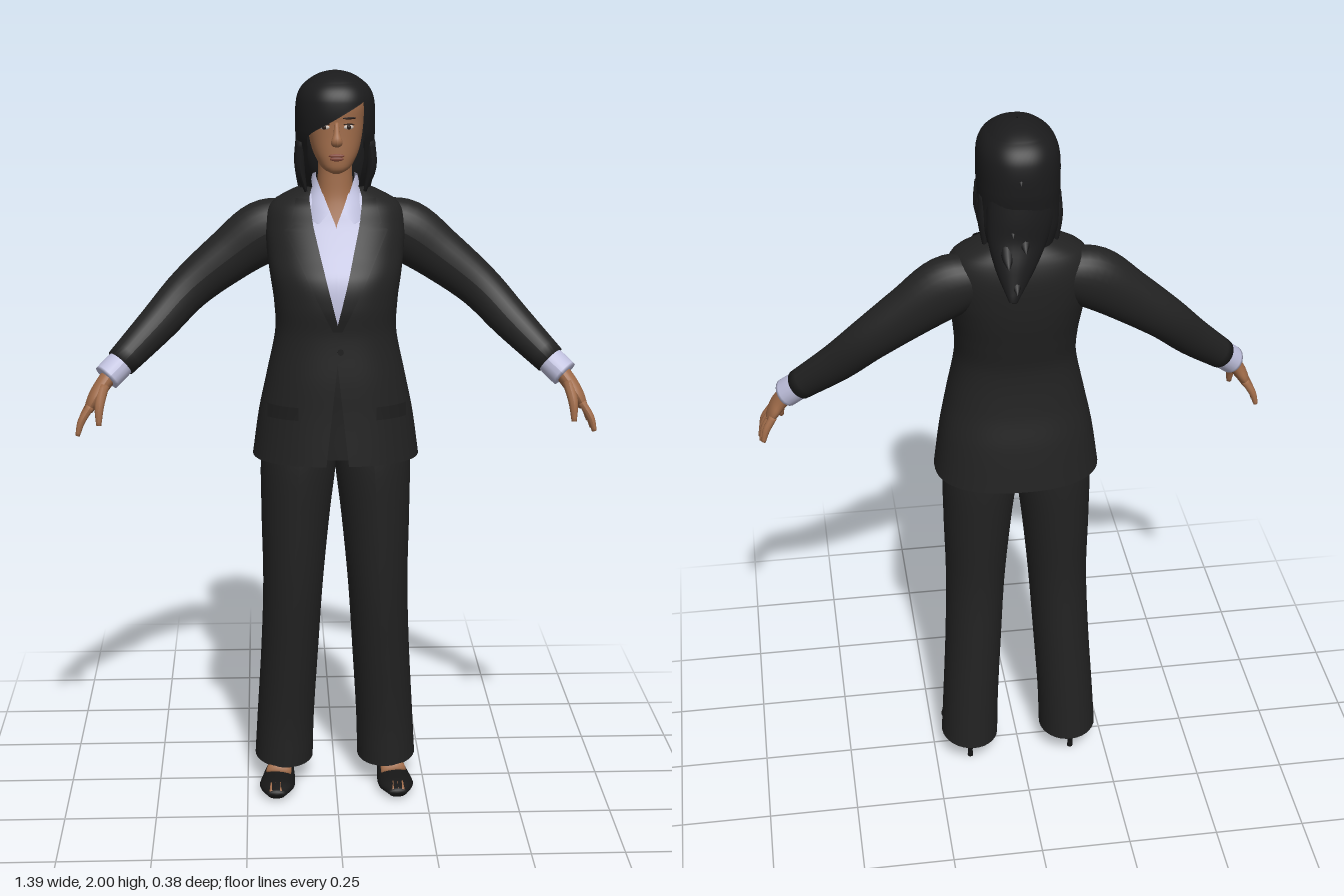
import * as THREE from 'three';

const mat = (name, color) => {
  const m = new THREE.MeshStandardMaterial({ color, side: THREE.DoubleSide });
  m.name = name;
  return m;
};
const lerp = THREE.MathUtils.lerp, clamp = THREE.MathUtils.clamp;

// Piecewise linear value through [key, value] pairs
const ramp = (pairs) => (k) => {
  let i = 0;
  while (i < pairs.length - 2 && k > pairs[i + 1][0]) i++;
  const [a, b] = [pairs[i], pairs[i + 1]];
  return lerp(a[1], b[1], clamp((k - a[0]) / (b[0] - a[0]), 0, 1));
};

// Smooth interpolation of rows of numbers at ascending keys
function interp(keys, rows, k) {
  const n = keys.length;
  let i = 0;
  while (i < n - 2 && k > keys[i + 1]) i++;
  const h = keys[i + 1] - keys[i], t = clamp((k - keys[i]) / h, 0, 1);
  return rows[i].map((_, c) => {
    const slope = (j) => {
      const a = Math.max(j - 1, 0), b = Math.min(j + 1, n - 1);
      return (rows[b][c] - rows[a][c]) / (keys[b] - keys[a]);
    };
    const p = rows[i][c], q = rows[i + 1][c], t2 = t * t, t3 = t2 * t;
    return p * (2 * t3 - 3 * t2 + 1) + q * (3 * t2 - 2 * t3) + h * (slope(i) * (t3 - 2 * t2 + t) + slope(i + 1) * (t3 - t2));
  });
}

// Grid surface from fn(u, v) -> [x, y, z]
function grid(nu, nv, fn) {
  const pos = [], idx = [];
  for (let j = 0; j <= nv; j++) for (let i = 0; i <= nu; i++) pos.push(...fn(i / nu, j / nv));
  for (let j = 0; j < nv; j++) for (let i = 0; i < nu; i++) {
    const a = j * (nu + 1) + i, b = a + 1, c = b + nu + 1, d = a + nu + 1;
    idx.push(a, b, c, a, c, d);
  }
  const g = new THREE.BufferGeometry();
  g.setAttribute('position', new THREE.Float32BufferAttribute(pos, 3));
  g.setIndex(idx);
  g.computeVertexNormals();
  return g;
}

// Body surface from sections [y, halfWidth, zFront, zBack]; angle 0 is the front
const P = 0.85;
const bend = (s) => Math.sign(s) * Math.abs(s) ** P;
function surf(sec, y, a, off = 0) {
  const [, rx, zf, zb] = interp(sec.map((s) => s[0]), sec, y);
  return [(rx + off) * bend(Math.sin(a)), y, (zf + zb) / 2 + ((zf - zb) / 2 + off) * bend(Math.cos(a))];
}
function angleAt(sec, y, x) {
  const q = clamp(x / interp(sec.map((s) => s[0]), sec, y)[1], -0.98, 0.98);
  return Math.asin(Math.sign(q) * Math.abs(q) ** (1 / P));
}
const shell = (sec, y0, y1, edges, off = 0, nu = 40, nv = 36) => grid(nu, nv, (u, v) => {
  const y = lerp(y0, y1, v), [a, b] = edges(y);
  return surf(sec, y, lerp(a, b, u), off);
});
const around = () => [-Math.PI, Math.PI];

// Tube through rows [x, y, z, radius along ref, other radius]
function sweep(rows, { ref = [0, 0, 1], n = 20, steps = 5, caps = true } = {}) {
  const keys = rows.map((_, i) => i), last = rows.length - 1, nv = last * steps + (caps ? 2 : 0);
  return grid(n, nv, (u, v) => {
    const j = Math.round(v * nv) - (caps ? 1 : 0), k = clamp(j / steps, 0, last);
    const at = (q) => new THREE.Vector3(...interp(keys, rows, clamp(q, 0, last)));
    const T = at(k + 0.05).sub(at(k - 0.05)).normalize();
    const A = new THREE.Vector3(...ref).addScaledVector(T, -T.dot(new THREE.Vector3(...ref))).normalize();
    const B = T.clone().cross(A), [x, y, z, ra, rb] = interp(keys, rows, k);
    const f = caps && (j < 0 || j > last * steps) ? 0 : 1, a = u * Math.PI * 2;
    return new THREE.Vector3(x, y, z).addScaledVector(A, f * ra * Math.cos(a)).addScaledVector(B, f * rb * Math.sin(a)).toArray();
  });
}

export function createModel() {
  const root = new THREE.Group();
  root.name = 'suitedWoman';
  const suit = mat('suit black', 0x222222), lapelMat = mat('lapel black', 0x1d1d1d), hairMat = mat('hair black', 0x1b1b1c);
  const shirt = mat('shirt lavender', 0xc0c1de), skin = mat('skin', 0xa06c4a), lip = mat('lips', 0x84483a);
  const shoeMat = mat('shoe black', 0x161616), white = mat('eye white', 0xcfc4bc), dark = mat('eye dark', 0x2a1c16);
  const add = (name, geo, m) => {
    const mesh = new THREE.Mesh(geo, m);
    mesh.name = name;
    root.add(mesh);
    return mesh;
  };

  // Jacket body, open in a V at the chest and parted at the hem
  const torso = [[0.975, 0.225, 0.185, -0.145], [1.1, 0.207, 0.18, -0.13], [1.2, 0.186, 0.178, -0.112], [1.32, 0.162, 0.172, -0.105],
    [1.4, 0.165, 0.175, -0.12], [1.47, 0.175, 0.163, -0.135], [1.53, 0.183, 0.125, -0.143], [1.6, 0.186, 0.086, -0.145],
    [1.65, 0.17, 0.062, -0.135], [1.68, 0.12, 0.035, -0.12], [1.705, 0.06, 0.02, -0.095]];
  const vee = ramp([[0.975, 0.03], [1.25, 0], [1.35, 0], [1.6, 0.06], [1.67, 0.07], [1.705, 0.06]]);
  add('jacket', shell(torso, 0.975, 1.705, (y) => {
    const a = angleAt(torso, y, vee(y));
    return [a, Math.PI * 2 - a];
  }, 0, 64, 64), suit);
  add('jacketLining', shell(torso, 0.99, 1.33, around, -0.012), lapelMat);

  // Shirt, neck and collars
  const neck = [[1.56, 0.12, 0.07, -0.1], [1.66, 0.056, 0.036, -0.08], [1.72, 0.046, 0.03, -0.075], [1.81, 0.046, 0.03, -0.08]];
  add('neck', shell(neck, 1.56, 1.81, around), skin);
  const collar = [[1.61, 0.095, 0.098, -0.1], [1.65, 0.082, 0.075, -0.1], [1.69, 0.068, 0.045, -0.095], [1.725, 0.06, 0.03, -0.088]];
  const shirtGap = ramp([[1.3, 0], [1.6, 0], [1.69, 0.04]]);
  const lapelOut = ramp([[1.34, 0.012], [1.58, 0.125], [1.597, 0.132], [1.6, 0.1], [1.61, 0.115], [1.67, 0.1]]);
  const collarIn = ramp([[1.61, 0.045], [1.64, 0.018], [1.725, 0.052]]);
  for (const s of [1, -1]) {
    const side = (a, b) => (s > 0 ? [a, b] : [-b, -a]);
    const strip = (sec, p, q) => (y) => side(angleAt(sec, y, p(y)), angleAt(sec, y, q(y)));
    add('shirtFront', shell(torso, 1.3, 1.68, strip(torso, shirtGap, (y) => vee(y) + 0.035), -0.008, 10), shirt);
    add('lapel', shell(torso, 1.34, 1.67, strip(torso, (y) => vee(y) - 0.002, lapelOut), 0.008, 8, 60), lapelMat);
    add('shirtCollar', shell(collar, 1.61, 1.725, (y) => {
      const a = angleAt(collar, y, collarIn(y));
      return side(a, lerp(a + 0.05, Math.PI, clamp((y - 1.61) / 0.06, 0, 1)));
    }, 0, 24, 20), shirt);
    add('pocketFlap', shell(torso, 1.1, 1.135, strip(torso, () => 0.1, () => 0.18), 0.006, 8, 3), lapelMat);

    // Sleeve, cuff and hand
    const limb = (name, rows, m, opt) => add(name, sweep(rows.map(([x, ...r]) => [x * s, ...r]), opt), m);
    limb('sleeve', [[0.11, 1.59, -0.06, 0.06, 0.068], [0.19, 1.568, -0.058, 0.064, 0.084], [0.285, 1.503, -0.052, 0.057, 0.072],
      [0.39, 1.42, -0.034, 0.05, 0.06], [0.475, 1.333, 0.008, 0.045, 0.053], [0.575, 1.237, 0.07, 0.041, 0.042]], suit, { n: 28 });
    limb('cuff', [[0.56, 1.25, 0.063, 0.036, 0.036], [0.585, 1.227, 0.077, 0.039, 0.038], [0.612, 1.202, 0.092, 0.041, 0.038]], shirt);
    limb('palm', [[0.595, 1.22, 0.083, 0.027, 0.022], [0.625, 1.18, 0.1, 0.034, 0.021], [0.645, 1.15, 0.107, 0.041, 0.018],
      [0.66, 1.12, 0.109, 0.036, 0.013]], skin);
    for (const [i, len] of [0.8, 0.95, 1, 0.9].entries()) {
      const z = 0.078 + i * 0.02, d = (i - 1.5) * 0.01;
      limb('finger', [[0.653, 1.135, z, 0.011, 0.011], [0.653 + 0.026 * len, 1.135 - 0.042 * len, z + d * 0.6, 0.01, 0.01],
        [0.653 + 0.038 * len, 1.135 - 0.083 * len, z + d, 0.006, 0.006]], skin, { n: 10 });
    }
    limb('thumb', [[0.618, 1.185, 0.118, 0.016, 0.015], [0.628, 1.14, 0.15, 0.013, 0.013], [0.63, 1.09, 0.165, 0.007, 0.007]], skin, { n: 10 });

    // Trouser leg
    limb('trouserLeg', [[0.146, 0.065, -0.027, 0.098, 0.082], [0.14, 0.2, -0.02, 0.095, 0.08], [0.128, 0.4, -0.003, 0.098, 0.08],
      [0.118, 0.6, 0.012, 0.103, 0.083], [0.11, 0.8, 0.013, 0.113, 0.094], [0.1, 0.97, 0.013, 0.118, 0.103],
      [0.09, 1.1, 0.013, 0.1, 0.09]], suit, { n: 32, caps: false });

    // Ankle, foot and open-toed heeled shoe
    limb('ankle', [[0.148, 0.2, -0.04, 0.03, 0.026], [0.15, 0.09, -0.04, 0.035, 0.03]], skin);
    const x = { ref: [1, 0, 0] };
    limb('foot', [[0.15, 0.1, -0.05, 0.03, 0.025], [0.155, 0.075, 0.02, 0.03, 0.022], [0.163, 0.044, 0.07, 0.036, 0.012]], skin, x);
    limb('shoe', [[0.148, 0.075, -0.1, 0.02, 0.022], [0.15, 0.068, -0.05, 0.034, 0.028], [0.155, 0.042, 0.005, 0.036, 0.026],
      [0.162, 0.026, 0.06, 0.046, 0.025], [0.168, 0.021, 0.11, 0.048, 0.02], [0.17, 0.015, 0.155, 0.024, 0.011]], shoeMat, x);
    limb('shoeHeel', [[0.15, 0, -0.072, 0.008, 0.008], [0.15, 0.03, -0.075, 0.008, 0.008], [0.148, 0.07, -0.08, 0.02, 0.02]], shoeMat);
    for (let i = 0; i < 3; i++) limb('toe', [[0.158 + i * 0.013, 0.026, 0.118, 0.007, 0.013], [0.158 + i * 0.013, 0.02, 0.15, 0.006, 0.008]], skin, { ...x, n: 8 });
  }
  const button = add('jacketButton', new THREE.CylinderGeometry(0.008, 0.008, 0.006, 16).rotateX(Math.PI / 2), lapelMat);
  button.position.set(0.008, 1.285, 0.177);

  // Head and face
  const head = [[1.74, 0.01, 0.085, 0.055], [1.75, 0.033, 0.096, 0.01], [1.775, 0.051, 0.1, -0.03], [1.8, 0.062, 0.1, -0.06],
    [1.835, 0.07, 0.099, -0.09], [1.87, 0.074, 0.099, -0.11], [1.92, 0.074, 0.1, -0.115], [1.96, 0.055, 0.075, -0.09], [1.98, 0.02, 0.03, -0.05]];
  add('head', shell(head, 1.74, 1.98, around), skin);
  add('nose', sweep([[0, 1.872, 0.094, 0.007, 0.006], [0, 1.845, 0.106, 0.01, 0.009], [0, 1.826, 0.112, 0.012, 0.015], [0, 1.817, 0.101, 0.007, 0.013]]), skin);
  const dot = (name, x, y, w, h, m, off = 0) => {
    const mesh = add(name, new THREE.SphereGeometry(1, 16, 10), m);
    mesh.scale.set(w, h, 0.004);
    const a = angleAt(head, y, x);
    mesh.position.set(...surf(head, y, a, off));
    mesh.rotation.y = a * 0.6;
  };
  dot('upperLip', 0, 1.789, 0.021, 0.005, lip, 0.002);
  dot('lowerLip', 0, 1.781, 0.018, 0.006, lip, 0.002);
  for (const s of [1, -1]) {
    dot('eyeWhite', s * 0.031, 1.862, 0.014, 0.006, white);
    dot('iris', s * 0.031, 1.862, 0.006, 0.006, dark, 0.002);
    dot('upperLid', s * 0.031, 1.869, 0.015, 0.002, dark, 0.001);
    dot('eyebrow', s * 0.033, 1.885, 0.019, 0.003, dark);
  }

  // Hair cap with a side-swept fringe
  const hair = [[1.69, 0.085, 0.02, -0.125], [1.74, 0.1, 0.05, -0.132], [1.8, 0.103, 0.085, -0.14], [1.85, 0.105, 0.108, -0.146],
    [1.92, 0.103, 0.113, -0.142], [1.955, 0.09, 0.1, -0.125], [1.98, 0.062, 0.07, -0.092], [1.994, 0.033, 0.035, -0.055], [2, 0.002, -0.005, -0.015]];
  const right = ramp([[1.69, 0.06], [1.78, 0.074], [1.925, 0.07]]);
  const left = ramp([[1.69, -0.06], [1.78, -0.074], [1.835, -0.076], [1.85, -0.06], [1.925, 0.07]]);
  add('hairCap', shell(hair, 1.69, 2, (y) => [angleAt(hair, y, right(y)), Math.PI * 2 + angleAt(hair, y, left(y))], 0, 64, 80), hairMat);

  // Hanging back hair, side locks and loose tips
  add('backHair', sweep([[0, 1.87, -0.09, 0.045, 0.08], [0.005, 1.78, -0.095, 0.05, 0.085], [0.015, 1.71, -0.105, 0.045, 0.075],
    [0.025, 1.645, -0.135, 0.035, 0.05], [0.035, 1.575, -0.18, 0.006, 0.01]], { n: 28 }), hairMat);
  for (const s of [1, -1]) for (let i = 0; i < 3; i++) {
    const z = 0.025 - i * 0.04;
    add('sideLock', sweep([[s * 0.09, 1.82, z, 0.022, 0.014], [s * 0.094, 1.75, z - 0.005, 0.022, 0.014],
      [s * (0.078 + 0.006 * i), 1.685 - 0.008 * i, z - 0.01, 0.004, 0.004]], { n: 10 }), hairMat);
  }
  for (const [y, z, x] of [[1.88, -0.152, 0.01], [1.74, -0.152, 0.03], [1.7, -0.165, 0.0], [1.665, -0.178, 0.045], [1.6, -0.19, 0.025]])
    add('looseTip', sweep([[x, y + 0.05, z + 0.045, 0.012, 0.016], [x, y + 0.02, z + 0.025, 0.01, 0.014], [x, y, z, 0.001, 0.001]], { n: 8 }), hairMat);
  return root;
}
